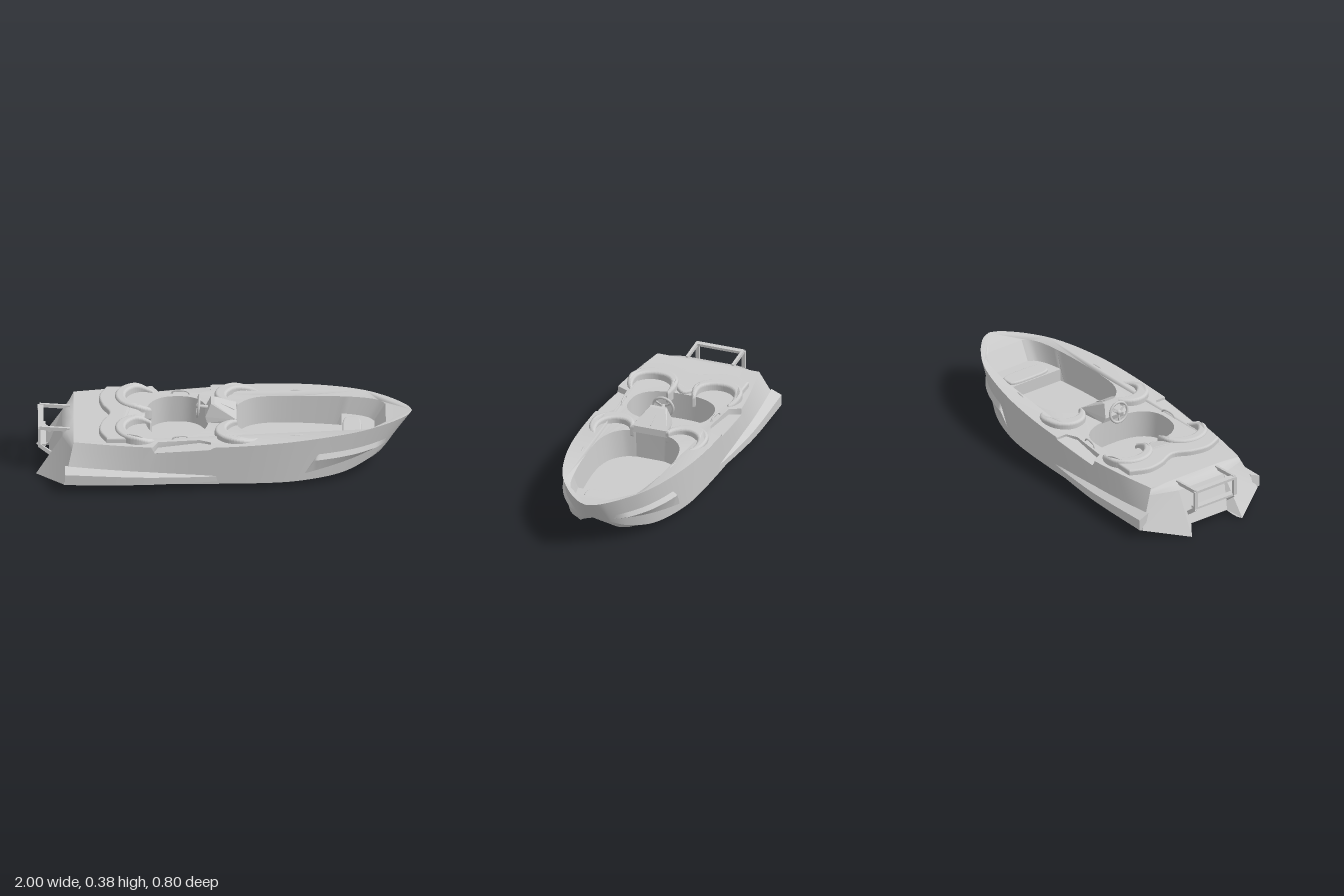
import * as THREE from 'three';
import { ConvexGeometry } from 'three/addons/geometries/ConvexGeometry.js';

const V = (x, y, z) => new THREE.Vector3(x, y, z);
const { lerp, smoothstep } = THREE.MathUtils;
const mat = new THREE.MeshStandardMaterial({ color: 0xcccccc, side: THREE.DoubleSide });

// Smooth curve through [x, value] pairs
const track = (...p) => (x) => {
  const n = p.length - 1;
  if (x <= p[0][0]) return p[0][1];
  if (x >= p[n][0]) return p[n][1];
  let i = 0;
  while (x > p[i + 1][0]) i++;
  const slope = (j) => {
    const a = p[Math.max(j - 1, 0)], b = p[Math.min(j + 1, n)];
    return (b[1] - a[1]) / (b[0] - a[0]);
  };
  const h = p[i + 1][0] - p[i][0], s = (x - p[i][0]) / h, s2 = s * s, s3 = s2 * s;
  return (2 * s3 - 3 * s2 + 1) * p[i][1] + (s3 - 2 * s2 + s) * h * slope(i)
    + (3 * s2 - 2 * s3) * p[i + 1][1] + (s3 - s2) * h * slope(i + 1);
};

// Surface through rows of points
function grid(rows) {
  const w = rows[0].length, idx = [];
  for (let i = 0; i < rows.length - 1; i++) for (let j = 0; j < w - 1; j++) {
    const a = i * w + j, b = a + 1, c = a + w, d = c + 1;
    idx.push(a, c, b, b, c, d);
  }
  const g = new THREE.BufferGeometry().setFromPoints(rows.flat());
  g.setIndex(idx);
  g.computeVertexNormals();
  return g;
}

const toShape = (pts) => new THREE.Shape(pts.map(([x, z]) => new THREE.Vector2(x, -z)));

// Level surface from [x, z] outline, height by rule
function flat(pts, y, holes = []) {
  const s = toShape(pts);
  s.holes = holes.map(toShape);
  const g = new THREE.ShapeGeometry(s).rotateX(-Math.PI / 2), p = g.attributes.position;
  for (let i = 0; i < p.count; i++) p.setY(i, y(p.getX(i), p.getZ(i)));
  g.computeVertexNormals();
  return g;
}

// Cushion with rounded edges from [x, z] outline, lowered along x by a rule
function slab(pts, top, depth, bevel, drop = () => 0) {
  const g = new THREE.ExtrudeGeometry(toShape(pts), {
    depth: depth - bevel, bevelSize: bevel, bevelThickness: bevel, bevelOffset: -bevel, bevelSegments: 4,
  }).rotateX(-Math.PI / 2).translate(0, top - depth, 0);
  const p = g.attributes.position;
  for (let i = 0; i < p.count; i++) p.setY(i, p.getY(i) - drop(p.getX(i)));
  g.computeVertexNormals();
  return g;
}

// Tapered arc outline, angles in degrees, 180 = aft
function crescent(cx, cz, rx, rz, a0, a1, thick) {
  const outer = [], inner = [], n = 36;
  for (let i = 0; i <= n; i++) {
    const a = lerp(a0, a1, i / n) * Math.PI / 180, k = 1 - thick * (0.3 + 0.7 * Math.sin(Math.PI * i / n));
    outer.push([cx + rx * Math.cos(a), cz + rz * Math.sin(a)]);
    inner.unshift([cx + rx * k * Math.cos(a), cz + rz * k * Math.sin(a)]);
  }
  return [...outer, ...inner];
}

const oval = (cx, cz, rx, rz, n, pow) => Array.from({ length: n }, (_, i) => {
  const a = i / n * Math.PI * 2, f = (v) => Math.sign(v) * Math.abs(v) ** pow;
  return [cx + rx * f(Math.cos(a)), cz + rz * f(Math.sin(a))];
});

// Hull lines along x
const sheer = track([-0.8, 0.25], [-0.4, 0.25], [0, 0.255], [0.5, 0.28], [0.8, 0.29], [1, 0.29]);
const beam = track([-0.8, 0.29], [-0.6, 0.325], [-0.4, 0.35], [-0.2, 0.36], [0, 0.36], [0.2, 0.352], [0.4, 0.33],
  [0.6, 0.285], [0.75, 0.23], [0.87, 0.155], [0.95, 0.085], [0.985, 0.04], [1, 0]);
const chineZ = track([-0.85, 0.385], [-0.4, 0.365], [0, 0.355], [0.3, 0.335], [0.5, 0.29], [0.65, 0.23], [0.78, 0.15], [0.86, 0.085], [0.895, 0.04], [0.91, 0]);
const chineY = track([-0.85, 0.045], [0.3, 0.032], [0.5, 0.035], [0.65, 0.048], [0.78, 0.088], [0.86, 0.135], [0.895, 0.163], [0.91, 0.17]);
const keelZ = track([-1, 0.168], [0.5, 0.168], [0.65, 0.155], [0.78, 0.12], [0.86, 0.07], [0.9, 0]);
const keelY = track([-1, 0], [0.35, 0.002], [0.55, 0.012], [0.7, 0.04], [0.8, 0.08], [0.86, 0.125], [0.9, 0.165]);
const roofZ = track([-0.93, 0.12], [0.6, 0.12], [0.78, 0.1], [0.86, 0.06], [0.905, 0]);
const roofY = track([-0.93, 0.035], [0.3, 0.035], [0.6, 0.06], [0.76, 0.105], [0.85, 0.148], [0.905, 0.17]);
const inNotch = (x) => x > -0.38 && x < -0.07;
const notchY = (x) => 0.215 + (x + 0.38) * 0.08;
// Deck dishes inward from the gunwale toward the bow
const deckY = (x, z = 0) => sheer(x) - (Math.abs(z) < beam(x) - 0.008 ? 0.022 * smoothstep(x, 0.05, 0.4) : 0);

const gunwale = (t) => { const x = lerp(-0.8, 1, t); return V(x, inNotch(x) ? notchY(x) : sheer(x), beam(x)); };
const chine = (t) => { const x = lerp(-0.85, 0.91, t); return V(x, chineY(x), chineZ(x)); };
const keel = (t) => { const x = lerp(-1, 0.9, t); return V(x, keelY(x), keelZ(x)); };
const roof = (t) => { const x = lerp(-0.93, 0.905, t); return V(x, roofY(x), roofZ(x)); };
const centre = (t) => roof(t).setZ(0);

// Half-width of the topside at x, y
function hullZ(x, y) {
  let v = 0.5, t = 0;
  for (let i = 0; i < 5; i++) {
    t = THREE.MathUtils.clamp((x + 0.8 + 0.05 * v) / (1.8 - 0.04 * v), 0, 1);
    const g = sheer(lerp(-0.8, 1, t)), c = chine(t).y;
    v = (g - y) / (g - c);
  }
  return lerp(beam(lerp(-0.8, 1, t)), chine(t).z, v);
}

export function createModel() {
  const root = new THREE.Group();
  root.name = 'boat';
  const add = (name, geo, mirrored = false) => {
    const m = new THREE.Mesh(geo, mat);
    m.name = name;
    root.add(m);
    if (mirrored) {
      const c = m.clone();
      c.scale.z = -1;
      c.name = name + 'Mirrored';
      root.add(c);
    }
  };
  const tube = (name, pts, r, both) =>
    add(name, new THREE.TubeGeometry(new THREE.CatmullRomCurve3(pts), 20, r, 8), both);
  const bar = (name, a, b, w, h, both) => {
    const g = new THREE.BoxGeometry(w, h, a.distanceTo(b));
    g.lookAt(b.clone().sub(a)).translate(...a.clone().add(b).multiplyScalar(0.5).toArray());
    add(name, g, both);
  };

  // Hull panels, each smooth, meeting at hard chines; a power above 1 rounds the panel downward
  const ts = Array.from({ length: 121 }, (_, i) => 1 - (1 - i / 120) ** 1.5);
  const panel = (name, a, b, pow = 1) => add(name, grid(ts.map((t) => [0, 0.2, 0.4, 0.6, 0.8, 1].map((k) => {
    const p = a(t), q = b(t);
    return p.clone().lerp(q, k).setY(lerp(p.y, q.y, k ** pow));
  }))), true);
  panel('topside', gunwale, chine);
  panel('hullBottom', chine, keel);
  panel('tunnelWall', keel, roof, 2.2);
  panel('tunnelRoof', roof, centre);

  // Stern with swallow tails and a recessed transom
  const lipOut = gunwale(0).lerp(chine(0), 0.17), lipIn = V(-0.86, 0.215, 0.15), lipMid = V(-0.86, 0.215, 0);
  add('sternLip', grid([[gunwale(0), V(-0.8, 0.25, 0.15), V(-0.8, 0.25, 0)],
    [gunwale(0).lerp(chine(0), 0.06), V(-0.838, 0.242, 0.15), V(-0.838, 0.242, 0)], [lipOut, lipIn, lipMid]]), true);
  add('tailFace', grid([[lipOut, lipIn], [chine(0), keel(0)]]), true);
  add('tailCheek', grid([[lipIn, lipIn], [keel(0), roof(0)]]), true);
  add('transom', grid([[lipIn, lipMid], [roof(0), centre(0)]]), true);

  // Aft side sponsons
  const outer = track([-0.85, 0.4], [-0.45, 0.4], [-0.2, 0.378], [-0.03, 0.356]);
  const sponson = Array.from({ length: 31 }, (_, i) => {
    const x = lerp(-0.845, -0.03, i / 30), y = lerp(0.135, 0.085, i / 30), o = outer(x);
    return [V(x, y, hullZ(x, y) - 0.002), V(x, y - 0.025 * (1 - i / 40), o), V(x, 0.05, o), V(x, 0.038, chineZ(x) - 0.02)];
  });
  for (let j = 0; j < 3; j++) add('sponson', grid(sponson.map((r) => r.slice(j, j + 2))), true);
  add('sponsonEnd', grid([[sponson[0][0], sponson[0][1]], [sponson[0][3], sponson[0][2]]]), true);

  // Bow side scoops: a ledge over an undercut face
  const scoop = Array.from({ length: 41 }, (_, i) => {
    const x = lerp(0.43, 0.86, i / 40), top = Math.min(0.183, lerp(0.08, 0.183, (x - 0.43) / 0.07));
    const shelf = Math.min(top - 0.003, 0.155), bottom = Math.min(shelf - 0.002, lerp(0.075, 0.15, (x - 0.43) / 0.4));
    const off = 0.018 * Math.min(1, (x - 0.43) / 0.07, (0.86 - x) / 0.05);
    return [V(x, top, hullZ(x, top)), V(x, shelf, hullZ(x, shelf) + off), V(x, bottom, hullZ(x, bottom))];
  });
  for (let j = 0; j < 2; j++) add('sideScoop', grid(scoop.map((r) => r.slice(j, j + 2))), true);

  // Deck with boarding notches and two wells
  const inner = [[-0.38, 0.352], [-0.35, 0.29], [-0.13, 0.27], [-0.07, 0.3], [-0.07, 0.36]];
  const edge = ts.map((t) => gunwale(t)).filter((p) => !inNotch(p.x)).map((p) => [p.x, p.z]);
  edge.splice(edge.findIndex((p) => p[0] > -0.2), 0, ...inner);
  const outline = [...edge, ...edge.slice(0, -1).reverse().map(([x, z]) => [x, -z])];
  const both = (f, x0, x1) => {
    const half = Array.from({ length: 41 }, (_, i) => {
      const x = lerp(x0, x1, (1 - Math.cos(Math.PI * i / 40)) / 2);
      return [x, f(x)];
    });
    return [...half, ...half.slice(1, -1).reverse().map(([x, z]) => [x, -z])];
  };
  const foreTop = both(track([0.06, 0.08], [0.08, 0.135], [0.14, 0.195], [0.22, 0.225], [0.32, 0.234], [0.45, 0.228], [0.6, 0.212],
    [0.75, 0.185], [0.83, 0.15], [0.86, 0.11]), 0.06, 0.86);
  const foreLow = foreTop.map(([x, z]) => [lerp(0.062, 0.8, (x - 0.06) / 0.8), z * 0.95]);
  const aftTop = oval(-0.25, 0, 0.17, 0.235, 64, 0.8);
  add('deck', flat(outline, deckY, [foreTop, aftTop]));
  add('notchStep', flat(inner, notchY), true);
  add('notchWall', grid([inner.map(([x, z]) => V(x, sheer(x), z)), inner.map(([x, z]) => V(x, notchY(x), z))]), true);

  // Wells, bow seat and floors
  const loop = (pts, y) => [...pts, pts[0]].map(([x, z]) => V(x, y(x), z));
  const foreY = (x) => (x > 0.6 ? 0.17 : 0.1);
  add('foreWellWall', grid([loop(foreTop, (x) => deckY(x)), loop(foreLow, foreY)]));
  add('foreFloor', flat(foreLow.filter((p) => p[0] < 0.66), () => 0.1));
  add('bowSeat', flat(foreLow.filter((p) => p[0] > 0.6), () => 0.17));
  const step = foreLow.find((p) => p[0] > 0.6);
  add('bowSeatFront', grid([[V(step[0], 0.17, step[1]), V(step[0], 0.17, -step[1])], [V(step[0], 0.1, step[1]), V(step[0], 0.1, -step[1])]]));
  add('bowCushion', slab(oval(0.68, 0, 0.05, 0.13, 40, 0.5), 0.185, 0.018, 0.008));
  add('aftWellWall', grid([loop(aftTop, sheer), loop(aftTop, () => 0.1)]));
  add('aftFloor', flat(aftTop, () => 0.1));

  // Seats: raised crescent backs falling away forward
  add('frontSeatBack', slab(crescent(0.08, 0.21, 0.13, 0.12, 30, 265, 0.55), 0.29, 0.06, 0.014,
    (x) => 0.026 * smoothstep(x, 0.03, 0.21)), true);
  add('aftSeatBack', slab(crescent(-0.455, 0.183, 0.125, 0.138, 45, 305, 0.45), 0.294, 0.06, 0.014,
    (x) => 0.034 * smoothstep(x, -0.48, -0.36)), true);
  const rear = track([-0.31, -0.62], [-0.2, -0.663], [-0.1, -0.65], [0, -0.61], [0.1, -0.65], [0.2, -0.663], [0.31, -0.62]);
  const front = track([-0.31, -0.5], [-0.2, -0.54], [-0.1, -0.51], [0, -0.42], [0.1, -0.51], [0.2, -0.54], [0.31, -0.5]);
  const side = (f, a, b) => Array.from({ length: 41 }, (_, i) => { const z = lerp(a, b, i / 40); return [f(z), z]; });
  add('aftSeatBase', slab([...side(rear, -0.3, 0.3), ...side(front, 0.3, -0.3)], 0.28, 0.04, 0.01,
    (x) => 0.015 * smoothstep(x, -0.52, -0.42)));

  // Helm console, fin and wheel
  const corners = [[-0.09, 0.25, 0.07], [0.07, 0.25, 0.1], [0.065, 0.285, 0.1], [-0.1, 0.28, 0.06], [-0.07, 0.352, 0.045], [-0.05, 0.35, 0.045]];
  add('console', new ConvexGeometry(corners.flatMap(([x, y, z]) => [V(x, y, z), V(x, y, -z)])));
  bar('consoleFin', V(-0.04, 0.333, 0), V(0.05, 0.288, 0), 0.006, 0.02);
  const wheel = new THREE.Group();
  wheel.name = 'steeringWheel';
  wheel.add(new THREE.Mesh(new THREE.TorusGeometry(0.056, 0.007, 10, 40), mat));
  wheel.add(new THREE.Mesh(new THREE.SphereGeometry(0.014, 16, 10), mat));
  for (let i = 0; i < 3; i++) {
    const spoke = new THREE.Mesh(new THREE.BoxGeometry(0.01, 0.055, 0.006).translate(0, 0.028, 0), mat);
    spoke.rotation.z = Math.PI / 3 + i * Math.PI * 2 / 3;
    wheel.add(spoke);
  }
  wheel.children.forEach((c, i) => { c.name = ['rim', 'hub'][i] || 'spoke'; });
  wheel.position.set(-0.137, 0.316, 0);
  wheel.rotation.set(0, -Math.PI / 2, 0);
  wheel.rotateX(-0.12);
  root.add(wheel);
  tube('steeringColumn', [V(-0.137, 0.316, 0), V(-0.08, 0.308, 0)], 0.01);

  // Grab handles
  for (const [x, z] of [[-0.23, 0.262], [0.39, 0.255]]) {
    const y = deckY(x) - 0.002;
    tube('grabHandle', [V(x - 0.05, y, z + 0.006), V(x - 0.035, y + 0.017, z + 0.004), V(x, y + 0.022, z),
      V(x + 0.035, y + 0.017, z - 0.004), V(x + 0.05, y, z - 0.006)], 0.005, true);
  }

  // Boarding ladder
  const rail = [V(-0.82, 0.243, 0.13), V(-0.982, 0.254, 0.13), V(-0.982, 0.15, 0.13), V(-0.92, 0.1, 0.13)];
  for (let i = 0; i < 3; i++) bar('ladderRail', rail[i], rail[i + 1], 0.014, 0.02, true);
  bar('ladderTopStep', V(-0.975, 0.252, -0.13), V(-0.975, 0.252, 0.13), 0.03, 0.014);
  bar('ladderLowerStep', V(-0.965, 0.15, -0.13), V(-0.965, 0.15, 0.13), 0.035, 0.012);
  return root;
}
